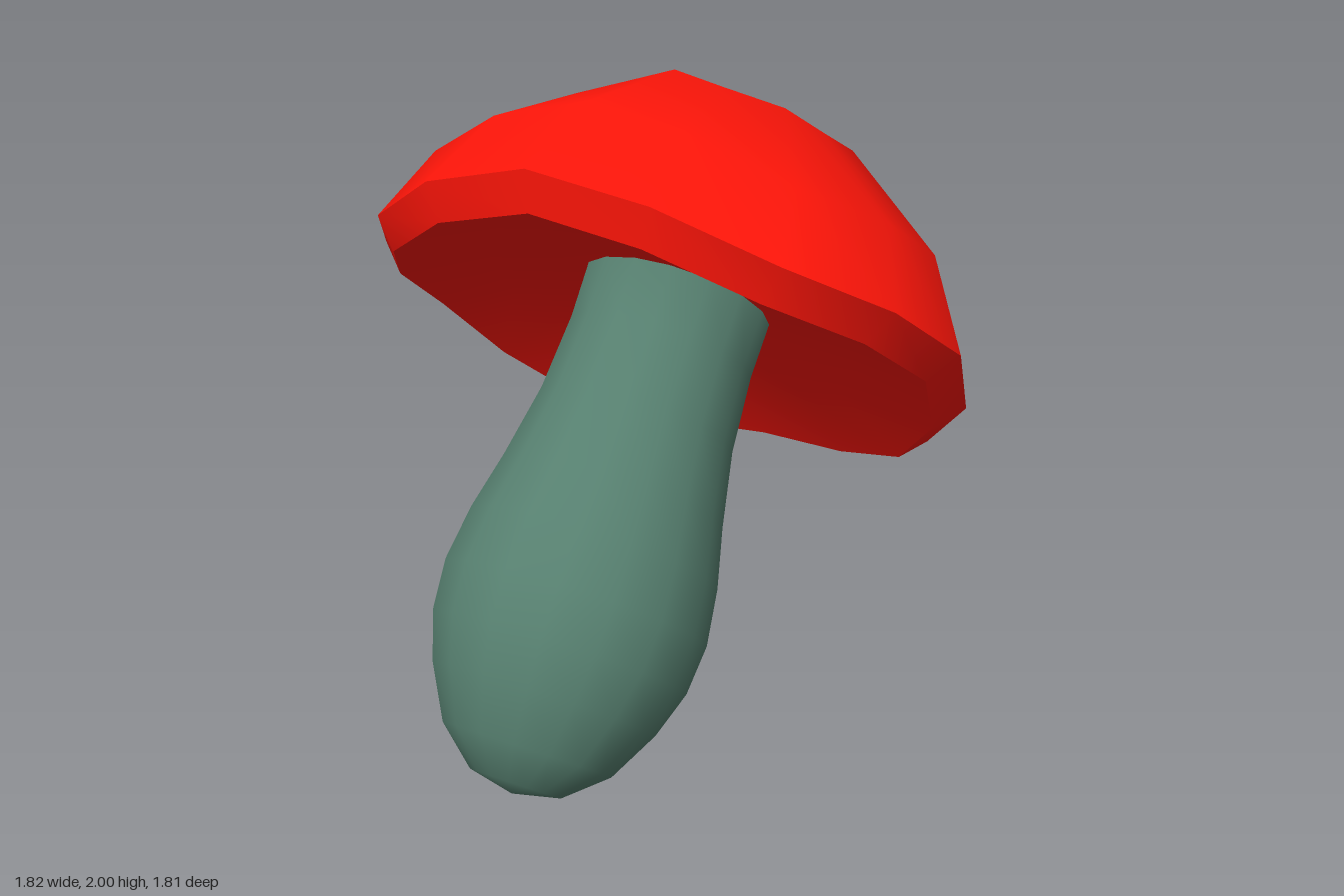
import * as THREE from 'three';
import { mergeVertices } from 'three/addons/utils/BufferGeometryUtils.js';

const SIDES = 16;

// Seamless smooth lathe. Each ring is [radius, height, ripple height, ripple radius, flattening]:
// the ripple runs four times around, and flattening pulls in the sides between its peaks.
function turned(rings) {
  const points = rings.map(([r, y]) => new THREE.Vector2(r, y));
  let geo = new THREE.LatheGeometry(points, SIDES);
  geo.deleteAttribute('uv');
  geo.deleteAttribute('normal');
  const p = geo.attributes.position;
  for (let i = 0; i < p.count; i++) {
    const [r, y, dy = 0, dr = 0, flat = 0] = rings[i % rings.length];
    const angle = Math.atan2(p.getZ(i), p.getX(i));
    const s = -Math.sin(4 * angle);
    const radius = r + dr * s - flat * (1 - Math.abs(s));
    p.setXYZ(i, radius * Math.cos(angle), y + dy * s, radius * Math.sin(angle));
  }
  geo = mergeVertices(geo, 1e-4);
  geo.computeVertexNormals();
  return geo;
}

export function createModel() {
  const red = new THREE.MeshStandardMaterial({ color: 0xff1509, side: THREE.DoubleSide });
  const green = new THREE.MeshStandardMaterial({ color: 0x567f6f });

  const mushroom = new THREE.Group();
  mushroom.name = 'mushroom';
  const add = (name, geo, mat, parent) => {
    const mesh = new THREE.Mesh(geo, mat);
    mesh.name = name;
    parent.add(mesh);
    return mesh;
  };

  // Cap: dome, slanted lip and shallow hollow underside, with sharp edges between
  const cap = new THREE.Group();
  cap.name = 'cap';
  const rim = [0.945, 0, 0.036];
  const innerRim = [0.865, -0.088, 0.033];
  add('capDome', turned([
    rim, [0.82, 0.275, 0.055, -0.035], [0.47, 0.61, 0.032, -0.04, 0.036], [0, 0.7],
  ]), red, cap);
  add('capLip', turned([innerRim, rim]), red, cap);
  add('capUnderside', turned([[0, 0.1], [0.3, 0.08], [0.6, 0.02, 0.015], innerRim]), red, cap);
  mushroom.add(cap);

  // Stem: rounded bulb at the foot, narrowing towards the cap
  const stem = add('stem', turned([
    [0, -1.49], [0.14, -1.46], [0.26, -1.36], [0.345, -1.21], [0.395, -1.07], [0.41, -0.92],
    [0.39, -0.75], [0.35, -0.57], [0.31, -0.34], [0.295, -0.1], [0.3, 0.1], [0, 0.1],
  ]), green, mushroom);
  stem.position.set(0.01, 0, 0.008);

  // Lean the whole mushroom back and to one side
  const side = new THREE.Vector3(0.963, 0.254, -0.085).normalize();
  const up = new THREE.Vector3(-0.074, 0.56, 0.825).cross(side).normalize();
  const front = side.clone().cross(up);
  mushroom.quaternion.setFromRotationMatrix(new THREE.Matrix4().makeBasis(side, up, front));
  mushroom.position.set(0, 1.23, -0.08);

  const model = new THREE.Group();
  model.name = 'model';
  model.add(mushroom);
  return model;
}
